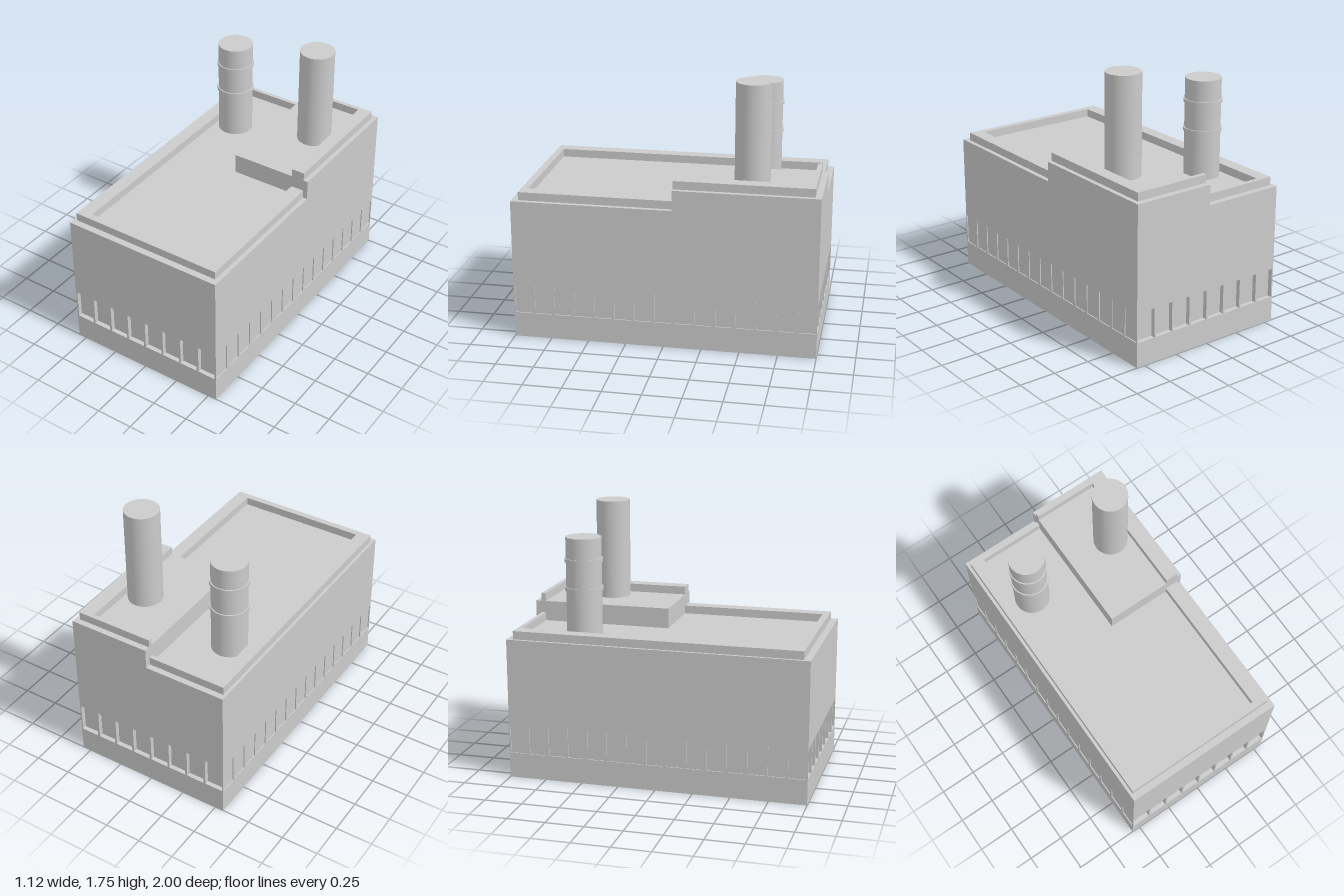
import * as THREE from 'three';

export function createModel() {
  const model = new THREE.Group();
  const material = new THREE.MeshStandardMaterial({ color: 0xcccccc });

  // Box given by its limits on each axis
  function block(name, [x0, x1], [y0, y1], [z0, z1], parent = model) {
    const mesh = new THREE.Mesh(new THREE.BoxGeometry(x1 - x0, y1 - y0, z1 - z0), material);
    mesh.name = name;
    mesh.position.set((x0 + x1) / 2, (y0 + y1) / 2, (z0 + z1) / 2);
    parent.add(mesh);
  }

  function cylinder(name, radius, y0, y1, x, z) {
    const mesh = new THREE.Mesh(new THREE.CylinderGeometry(radius, radius, y1 - y0, 48), material);
    mesh.name = name;
    mesh.position.set(x, (y0 + y1) / 2, z);
    model.add(mesh);
  }

  const W = 0.56, D = 1;               // half width and half depth
  const sill = 0.17, head = 0.37;      // window band
  const roof = 0.945, upperRoof = 1.08, step = -0.06;
  const glassX = 0.553, glassZ = 0.97; // window planes

  // Main walls below, behind and above the window band
  block('base', [-W, W], [0, sill], [-D, D]);
  block('windowPanes', [-glassX, glassX], [sill, head], [-glassZ, glassZ]);
  block('upperWalls', [-W, W], [head, roof], [-D, D]);
  block('raisedBlock', [0, W], [roof, upperRoof], [-D, step]);

  // Piers between the windows
  const piers = new THREE.Group();
  piers.name = 'windowPiers';
  model.add(piers);
  const band = [sill, head];
  for (const s of [-1, 1]) {
    const zRange = s > 0 ? [glassZ, D] : [-D, -glassZ];
    const xRange = s > 0 ? [glassX, W] : [-W, -glassX];

    // Front and back: eight windows
    const pitch = 1.1143 / 8, gap = 0.0143;
    for (let i = 0; i <= 8; i++) {
      const x = -0.55715 + i * pitch;
      block('endPier', [Math.max(x - gap / 2, -glassX), Math.min(x + gap / 2, glassX)], band, zRange, piers);
    }

    // Sides: fifteen windows
    for (let i = 0; i <= 15; i++) {
      const z = -D + (i * 2 * D) / 15;
      block('sidePier', xRange, band, [Math.max(z - 0.01, -D), Math.min(z + 0.01, D)], piers);
    }
  }

  // Parapet of the lower roof
  const low = [roof, 1.0];
  block('leftParapet', [-0.54, -0.45], low, [-0.96, 0.955]);
  block('rightParapet', [0.44, 0.53], low, [step, 0.955]);
  block('frontParapet', [-0.45, 0.44], low, [0.91, 0.955]);
  block('backParapet', [-0.45, 0], low, [-0.96, -0.93]);

  // Parapet of the raised roof, open towards the lower roof
  const high = [upperRoof, 1.135];
  block('raisedSideParapet', [0.44, 0.53], high, [-0.96, step]);
  block('raisedBackParapet', [0, 0.44], high, [-0.96, -0.93]);

  // Chimneys and the bands round the shorter one
  cylinder('tallChimney', 0.115, upperRoof, 1.75, 0.32, -0.54);
  cylinder('shortChimney', 0.117, roof, 1.605, -0.32, -0.54);
  for (const y of [1.265, 1.455]) cylinder('chimneyBand', 0.125, y - 0.012, y + 0.012, -0.32, -0.54);

  return model;
}
